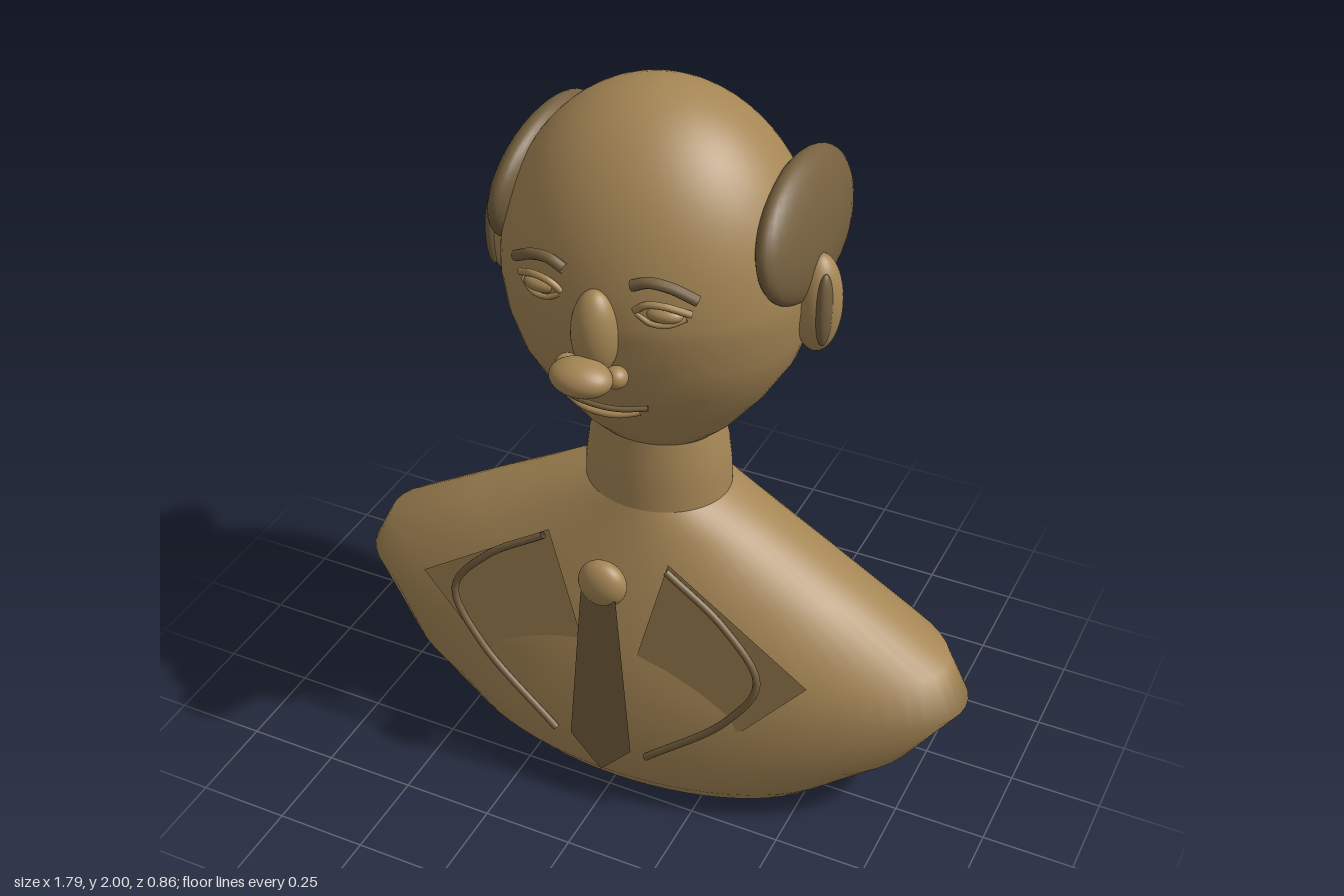
import * as THREE from 'three';

const Z0 = -0.065; // depth of the bust's vertical axis

const bronze = new THREE.MeshStandardMaterial({ color: 0xa58655, side: THREE.DoubleSide });
bronze.name = 'bronze';
const darkBronze = new THREE.MeshStandardMaterial({ color: 0x75603f, side: THREE.DoubleSide });
darkBronze.name = 'dark bronze';

// Smooth skin over elliptical rings given as [y, halfWidth, halfDepth]
function loft(rows, sides = 64) {
  const pos = [], index = [];
  rows.forEach(([y, rx, rz], r) => {
    for (let i = 0; i < sides; i++) {
      const a = (i / sides) * Math.PI * 2;
      pos.push(rx * Math.cos(a), y, Z0 + rz * Math.sin(a));
      if (r === rows.length - 1) continue;
      const p = r * sides + i, q = r * sides + ((i + 1) % sides);
      index.push(p, p + sides, q, q, p + sides, q + sides);
    }
  });
  const geo = new THREE.BufferGeometry();
  geo.setAttribute('position', new THREE.Float32BufferAttribute(pos, 3));
  geo.setIndex(index);
  geo.computeVertexNormals();
  return geo;
}

export function createModel() {
  const model = new THREE.Group();
  model.name = 'bust';

  function add(name, geo, mat) {
    const mesh = new THREE.Mesh(geo, mat);
    mesh.name = name;
    model.add(mesh);
    return mesh;
  }
  function ellipsoid(name, mat, [x, y, z], [rx, ry, rz], tilt = 0) {
    const mesh = add(name, new THREE.SphereGeometry(1, 36, 24), mat);
    mesh.scale.set(rx, ry, rz);
    mesh.position.set(x, y, z);
    mesh.rotation.z = tilt;
  }
  function tube(name, mat, points, radius) {
    const curve = new THREE.CatmullRomCurve3(points.map((p) => new THREE.Vector3(...p)));
    add(name, new THREE.TubeGeometry(curve, 32, radius, 10), mat);
  }
  function plate(name, mat, points, z) {
    const shape = new THREE.Shape(points.map((p) => new THREE.Vector2(...p)));
    add(name, new THREE.ShapeGeometry(shape), mat).position.z = z;
  }

  // Hollow torso, open underneath
  add('torso', loft([
    [0, 0.545, 0.28], [0.06, 0.605, 0.325], [0.2, 0.77, 0.36], [0.38, 0.895, 0.335],
    [0.5, 0.835, 0.308], [0.66, 0.56, 0.256], [0.8, 0.315, 0.2], [0.865, 0.195, 0.175],
  ]), bronze);

  add('neck', loft([
    [0.865, 0.198, 0.175], [0.93, 0.196, 0.173], [1.0, 0.187, 0.167], [1.08, 0.165, 0.158],
  ]), bronze);

  // Egg-shaped head: tapered jaw below, half ellipsoid above
  const profile = [
    [1.035, 0.001], [1.04, 0.09], [1.055, 0.165], [1.11, 0.222], [1.21, 0.3],
    [1.31, 0.36], [1.4, 0.39],
  ];
  for (let i = 0; i <= 20; i++) {
    const t = (i / 20) * Math.PI / 2;
    profile.push([1.5 + 0.5 * Math.sin(t), Math.max(0.001, 0.405 * Math.cos(t))]);
  }
  add('head', loft(profile.map(([y, r]) => [y, r, r * 0.89])), bronze);

  // Nose
  ellipsoid('noseBridge', bronze, [0, 1.51, 0.29], [0.06, 0.115, 0.06]);
  ellipsoid('noseTip', bronze, [0, 1.43, 0.37], [0.08, 0.045, 0.06]);
  ellipsoid('noseBase', bronze, [0, 1.39, 0.31], [0.035, 0.025, 0.03]);

  // Mouth
  tube('upperLip', darkBronze, [[-0.125, 1.312, 0.265], [-0.06, 1.303, 0.285], [0, 1.302, 0.292],
    [0.06, 1.303, 0.285], [0.125, 1.312, 0.265]], 0.007);
  tube('lowerLip', bronze, [[-0.1, 1.287, 0.255], [-0.05, 1.277, 0.275], [0, 1.274, 0.28],
    [0.05, 1.277, 0.275], [0.1, 1.287, 0.255]], 0.008);

  // Mirrored parts
  for (const s of [1, -1]) {
    const side = s > 0 ? 'left' : 'right';
    ellipsoid(side + 'Nostril', bronze, [s * 0.065, 1.415, 0.315], [0.03, 0.028, 0.03]);
    ellipsoid(side + 'Hair', darkBronze, [s * 0.355, 1.672, -0.13], [0.065, 0.175, 0.265], s * 0.17);
    ellipsoid(side + 'Ear', bronze, [s * 0.42, 1.505, -0.068], [0.06, 0.135, 0.063]);
    ellipsoid(side + 'InnerEar', darkBronze, [s * 0.45, 1.51, -0.03], [0.02, 0.1, 0.028]);

    // Eye with lids and brow
    ellipsoid(side + 'Eye', bronze, [s * 0.158, 1.583, 0.25], [0.05, 0.022, 0.03]);
    tube(side + 'UpperLid', bronze, [[s * 0.095, 1.588, 0.275], [s * 0.13, 1.613, 0.28],
      [s * 0.17, 1.615, 0.272], [s * 0.225, 1.59, 0.24]], 0.009);
    tube(side + 'LowerLid', bronze, [[s * 0.1, 1.58, 0.275], [s * 0.135, 1.563, 0.276],
      [s * 0.175, 1.562, 0.268], [s * 0.215, 1.578, 0.245]], 0.007);
    tube(side + 'Brow', darkBronze, [[s * 0.088, 1.652, 0.275], [s * 0.13, 1.669, 0.272],
      [s * 0.18, 1.66, 0.258], [s * 0.238, 1.628, 0.235]], 0.014);

    // Jacket lapel with a raised rim
    plate(side + 'Lapel', bronze, [[s * 0.17, 0.83], [s * 0.56, 0.56], [s * 0.39, 0.35],
      [s * 0.13, 0.2], [s * 0.07, 0.45]], 0.243);
    tube(side + 'LapelRim', darkBronze, [[s * 0.175, 0.825, 0.265], [s * 0.34, 0.71, 0.275],
      [s * 0.44, 0.57, 0.284], [s * 0.36, 0.41, 0.292], [s * 0.135, 0.2, 0.302]], 0.01);
  }

  // Tie
  plate('tie', darkBronze, [[-0.05, 0.71], [-0.09, 0.2], [0, 0.1], [0.09, 0.2], [0.05, 0.71]], 0.302);
  ellipsoid('tieKnot', bronze, [0, 0.735, 0.275], [0.067, 0.067, 0.043]);

  return model;
}
